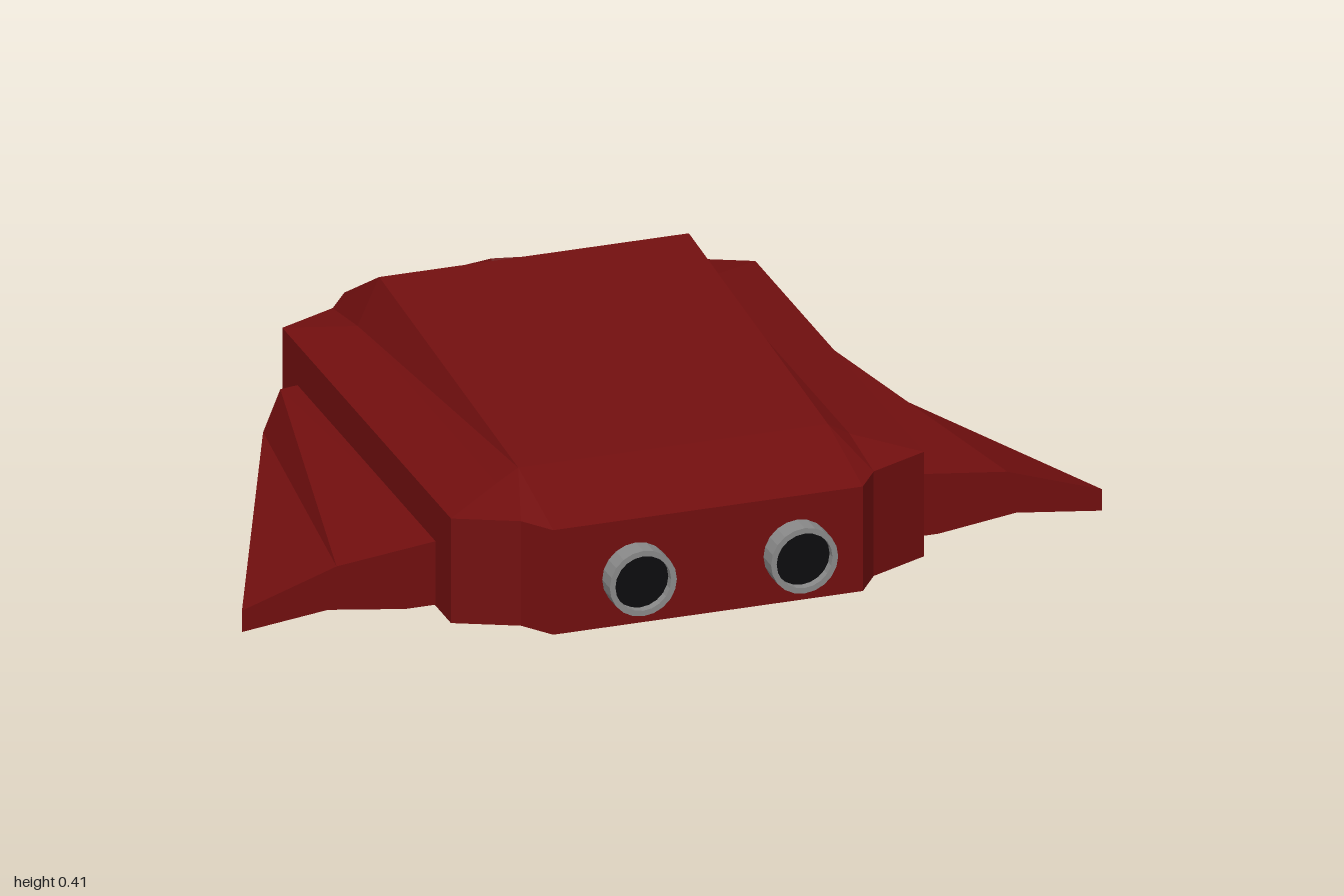
import * as THREE from 'three';

const red = new THREE.MeshStandardMaterial({ color: 0x720f0f });
red.name = 'hullRed';
const orange = new THREE.MeshStandardMaterial({ color: 0xe83e10 });
orange.name = 'windowOrange';
const grey = new THREE.MeshStandardMaterial({ color: 0x8a8a8a });
grey.name = 'nozzleGrey';
const black = new THREE.MeshStandardMaterial({ color: 0x0c0c0e });
black.name = 'nozzleBlack';

// Flat faces of the +x half, turned away from (or toward) a centre, then mirrored
function facets(name, material, faces, centre, { inward = false, sides = [1, -1] } = {}) {
  const c = new THREE.Vector3(...centre);
  const out = [];
  for (const face of faces) {
    const p = face.map((q) => new THREE.Vector3(...q));
    for (let i = 1; i < p.length - 1; i++) {
      let tri = [p[0], p[i], p[i + 1]];
      const n = tri[1].clone().sub(tri[0]).cross(tri[2].clone().sub(tri[0]));
      const mid = tri[0].clone().add(tri[1]).add(tri[2]).divideScalar(3).sub(c);
      if ((n.dot(mid) < 0) !== inward) tri = [tri[0], tri[2], tri[1]];
      for (const s of sides) {
        const t = s > 0 ? tri : [tri[0], tri[2], tri[1]];
        for (const v of t) out.push(v.x * s, v.y, v.z);
      }
    }
  }
  const g = new THREE.BufferGeometry();
  g.setAttribute('position', new THREE.Float32BufferAttribute(out, 3));
  g.computeVertexNormals();
  const mesh = new THREE.Mesh(g, material);
  mesh.name = name;
  return mesh;
}

export function createModel() {
  const model = new THREE.Group();
  model.name = 'shuttle';

  // Plan outline at the top of the walls, from the pointed end to the nozzle end
  const O = [
    [0, 0.22, -0.755], [0.36, 0.283, -0.67], [0.41, 0.28, -0.605], [0.55, 0.28, -0.54],
    [0.55, 0.28, 0.57], [0.41, 0.28, 0.635], [0.36, 0.28, 0.705], [0, 0.28, 0.705],
  ];
  const D = O.map(([x, , z]) => [x, 0.03, z]);
  // Roof edge (A) and shoulder ridge (B)
  const A1 = [0.36, 0.335, 0.475], A2 = [0.36, 0.415, -0.44];
  const B1 = [0.41, 0.305, 0.475], B2 = [0.41, 0.305, -0.44];
  const onAxis = ([, y, z]) => [0, y, z];
  // Window rim (R) and sunken pane (F)
  const R1 = [0.295, 0.394, -0.48], R2 = [0.295, 0.296, -0.65], R3 = [0, 0.292, -0.72];
  const F1 = [0.295, 0.371, -0.472], F2 = [0.295, 0.276, -0.64], F3 = [0, 0.238, -0.707];
  // Keel (K) and edge of the flat bottom (P)
  const K1 = [0, 0.003, 0.475], K2 = [0, 0.003, -0.44];
  const P1 = [0.36, 0.03, 0.475], P2 = [0.36, 0.03, -0.44];

  const walls = O.slice(1).map((p, i) => [O[i], p, D[i + 1], D[i]]);
  model.add(facets('hullWalls', red, walls, [0, 0.15, 0]));

  model.add(facets('roof', red, [
    [onAxis(A1), A1, A2, onAxis(A2)],
    [onAxis(A1), A1, O[6], O[7]],
    [A1, B1, O[5], O[6]],
    [B1, O[4], O[5]],
    [A1, A2, B2, B1],
    [B1, B2, O[3], O[4]],
    [A2, B2, O[2], O[1]],
    [B2, O[3], O[2]],
  ], [0, 0.1, 0]));

  model.add(facets('windowFrame', red, [
    [onAxis(A2), A2, R1, onAxis(R1)],
    [A2, O[1], R2, R1],
    [R2, O[1], O[0], R3],
  ], [0, 0.1, -0.2]));

  model.add(facets('windowRecess', red, [
    [R1, R2, F2, F1],
    [R2, R3, F3, F2],
    [R1, onAxis(R1), onAxis(F1), F1],
  ], [0, 0.33, -0.58], { inward: true }));

  model.add(facets('window', orange, [[onAxis(F1), F1, F2, F3]], [0, 0, -0.3]));

  model.add(facets('underside', red, [
    [K1, K2, P2, P1],
    [K1, P1, D[6], D[7]],
    [K2, P2, D[1], D[0]],
    [P1, D[6], D[5]],
    [P1, D[5], D[4]],
    [P1, D[4], D[3], P2],
    [P2, D[3], D[2]],
    [P2, D[2], D[1]],
  ], [0, 0.15, 0]));

  // Wings: two cross-sections with an arched underside, joined side by side
  const front = [[0.54, 0.185], [0.78, 0.157], [1, 0.083], [1, 0.032], [0.8, 0.056], [0.62, 0.032], [0.54, 0.032]]
    .map(([x, y]) => [x, y, 0.468]);
  const rear = [[0.54, 0.185], [0.59, 0.18], [0.63, 0.083], [0.63, 0.032], [0.605, 0.045], [0.58, 0.032], [0.54, 0.032]]
    .map(([x, y]) => [x, y, -0.44]);
  const skin = front.slice(1).map((p, i) => [front[i], p, rear[i + 1], rear[i]]);
  const caps = [front, rear].flatMap((s) => [
    [s[0], s[1], s[4], s[5], s[6]],
    [s[1], s[2], s[3], s[4]],
  ]);
  for (const [name, side] of [['leftWing', 1], ['rightWing', -1]]) {
    model.add(facets(name, red, [...skin, ...caps], [0.68, 0.1, 0.1], { sides: [side] }));
  }

  // Nozzles: a short ring with a dark core
  const ringProfile = [[0.065, 0], [0.078, 0], [0.078, 0.055], [0.065, 0.055], [0.065, 0]]
    .map(([r, h]) => new THREE.Vector2(r, h));
  const ringGeometry = new THREE.LatheGeometry(ringProfile, 20).toNonIndexed();
  ringGeometry.computeVertexNormals();
  const ringMaterial = grey;
  for (const x of [-0.168, 0.207]) {
    const nozzle = new THREE.Group();
    nozzle.name = 'nozzle';
    nozzle.position.set(x, 0.145, 0.7);
    const ring = new THREE.Mesh(ringGeometry, ringMaterial);
    ring.name = 'nozzleRing';
    ring.rotation.x = Math.PI / 2;
    const core = new THREE.Mesh(new THREE.CircleGeometry(0.067, 20), black);
    core.name = 'nozzleCore';
    core.position.z = 0.035;
    nozzle.add(ring, core);
    model.add(nozzle);
  }
  return model;
}
